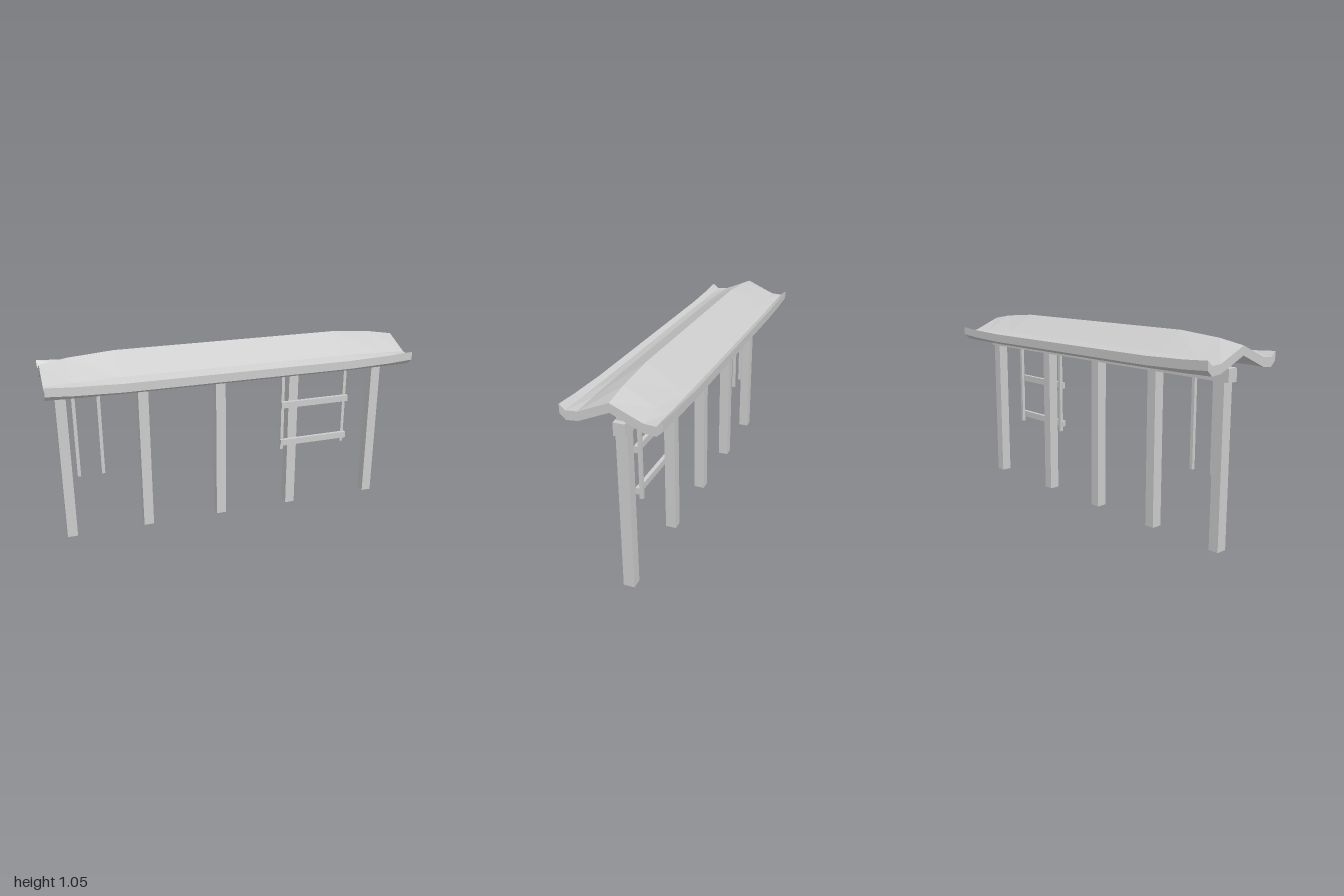
import * as THREE from 'three';

const grey = new THREE.MeshStandardMaterial({ color: 0xcccccc });
grey.name = 'plain grey';

// Box given by its limits on each axis
function addBox(parent, name, [x0, x1], [y0, y1], [z0, z1]) {
  const mesh = new THREE.Mesh(new THREE.BoxGeometry(x1 - x0, y1 - y0, z1 - z0), grey);
  mesh.position.set((x0 + x1) / 2, (y0 + y1) / 2, (z0 + z1) / 2);
  mesh.name = name;
  parent.add(mesh);
}

// Curved gable roof: half profile as [z, y at mid-length, y at the gable ends]
const TOP = [[0, 1.05, 1.008], [0.157, 0.952, 0.94], [0.217, 0.932, 0.936], [0.247, 0.945, 0.962]];
const BOTTOM = [[0, 1.004, 0.962], [0.157, 0.903, 0.894], [0.217, 0.883, 0.889], [0.247, 0.9, 0.917]];
// Stations along the ridge as [x, blend from middle to end profile]
const STATIONS = [[-1, 1], [-0.86, 0.45], [-0.62, 0], [0.62, 0], [0.86, 0.45], [1, 1]];

function roofGeometry() {
  const section = (half, [x, t]) => {
    const side = s => half.map(([z, mid, end]) => [x, mid + (end - mid) * t, s * z]);
    return [...side(-1).reverse(), ...side(1).slice(1)];
  };
  const positions = [];
  const quad = (a, b, c, d) => positions.push(...a, ...b, ...c, ...a, ...c, ...d);

  // Each ring runs along the top, then back along the underside
  const tops = STATIONS.map(s => section(TOP, s));
  const bottoms = STATIONS.map(s => section(BOTTOM, s));
  const rings = tops.map((top, i) => [...top, ...[...bottoms[i]].reverse()]);
  for (let i = 0; i < rings.length - 1; i++) {
    const r0 = rings[i], r1 = rings[i + 1], n = r0.length;
    for (let j = 0; j < n; j++) {
      const k = (j + 1) % n;
      quad(r0[j], r0[k], r1[k], r1[j]);
    }
  }
  // Gable end faces
  const last = STATIONS.length - 1;
  for (let j = 0; j < tops[0].length - 1; j++) {
    quad(tops[last][j], tops[last][j + 1], bottoms[last][j + 1], bottoms[last][j]);
    quad(tops[0][j + 1], tops[0][j], bottoms[0][j], bottoms[0][j + 1]);
  }
  const geometry = new THREE.BufferGeometry();
  geometry.setAttribute('position', new THREE.Float32BufferAttribute(positions, 3));
  geometry.computeVertexNormals();
  return geometry;
}

export function createModel() {
  const model = new THREE.Group();
  model.name = 'roofedRack';

  const roof = new THREE.Mesh(roofGeometry(), grey);
  roof.name = 'roof';
  model.add(roof);

  // Posts with short stubs carrying the roof
  for (const x of [-0.912, -0.477, -0.04, 0.398, 0.922]) {
    addBox(model, 'post', [x - 0.028, x + 0.028], [0, 0.84], [-0.055, 0.003]);
    addBox(model, 'roofStub', [x - 0.023, x + 0.023], [0.9, 0.98], [-0.051, -0.002]);
  }
  addBox(model, 'beam', [-0.965, 0.972], [0.837, 0.903], [-0.056, 0.003]);

  // Thin hanging rods
  for (const x of [-0.848, -0.717, 0.333, 0.721]) {
    addBox(model, 'hangingRod', [x - 0.009, x + 0.009], [0.364, 0.895], [-0.011, 0.007]);
  }
  // Rails joining the pair of rods on one side
  for (const y of [0.41, 0.643]) {
    addBox(model, 'rail', [0.32, 0.738], [y - 0.018, y + 0.018], [0.003, 0.024]);
  }
  return model;
}
